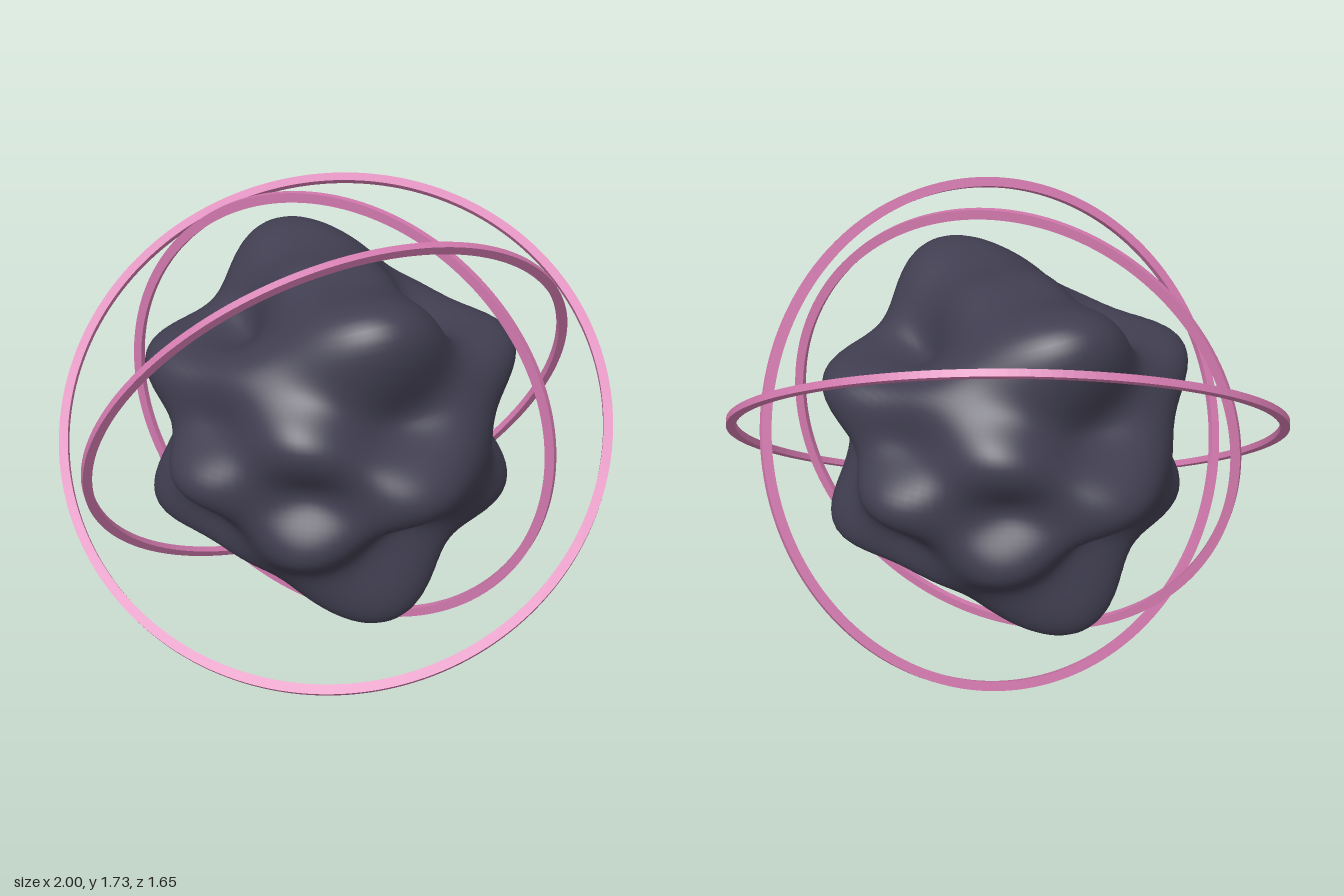
import * as THREE from 'three';

const CENTER_Y = 0.867;

// Flat band with a rectangular section, facing along its normal
function makeRing(name, outer, normal, material) {
  const width = 0.034, depth = 0.024;
  const shape = new THREE.Shape().absarc(0, 0, outer, 0, Math.PI * 2, false);
  shape.holes.push(new THREE.Path().absarc(0, 0, outer - width, 0, Math.PI * 2, true));
  const geometry = new THREE.ExtrudeGeometry(shape, { depth, bevelEnabled: false, curveSegments: 96 });
  geometry.translate(0, 0, -depth / 2);
  const ring = new THREE.Mesh(geometry, material);
  ring.name = name;
  ring.quaternion.setFromUnitVectors(
    new THREE.Vector3(0, 0, 1), new THREE.Vector3(...normal).normalize());
  ring.position.y = CENTER_Y;
  return ring;
}

// Sphere pushed in and out by a product of waves
function makeCore(material) {
  const radius = 0.62, swell = 0.155;
  const geometry = new THREE.SphereGeometry(1, 128, 96);
  const position = geometry.attributes.position;
  const bump = (d) => radius + swell * Math.sin(3 * d.x) * Math.cos(8 * d.y) * Math.sin(4 * d.z);
  const place = (d) => d.clone().normalize().multiplyScalar(bump(d.clone().normalize()));
  const normals = geometry.attributes.normal;
  const dir = new THREE.Vector3(), helper = new THREE.Vector3();
  for (let i = 0; i < position.count; i++) {
    dir.fromBufferAttribute(position, i).normalize();
    const p = place(dir);
    // smooth normal from two neighbouring surface points, free of a seam
    helper.set(0, 1, 0);
    if (Math.abs(dir.y) > 0.9) helper.set(1, 0, 0);
    const u = helper.clone().cross(dir).normalize();
    const v = dir.clone().cross(u);
    const e = 0.01;
    const du = place(dir.clone().addScaledVector(u, e)).sub(p);
    const dv = place(dir.clone().addScaledVector(v, e)).sub(p);
    const n = du.cross(dv).normalize();
    position.setXYZ(i, p.x, p.y, p.z);
    normals.setXYZ(i, n.x, n.y, n.z);
  }
  const core = new THREE.Mesh(geometry, material);
  core.name = 'lumpyCore';
  core.position.y = CENTER_Y;
  return core;
}

export function createModel() {
  const stone = new THREE.MeshStandardMaterial({ color: 0x403e50 });
  stone.name = 'darkStone';
  const pink = new THREE.MeshStandardMaterial({ color: 0xd078ac });
  pink.name = 'pink';

  const model = new THREE.Group();
  model.name = 'ringedRock';
  model.add(
    makeCore(stone),
    makeRing('innerRing', 0.865, [0, 0, 1], pink),
    makeRing('middleRing', 0.944, [0.69, -0.46, 0.558], pink),
    makeRing('outerRing', 1.022, [0.21, 0.77, 0.6], pink),
  );
  return model;
}
